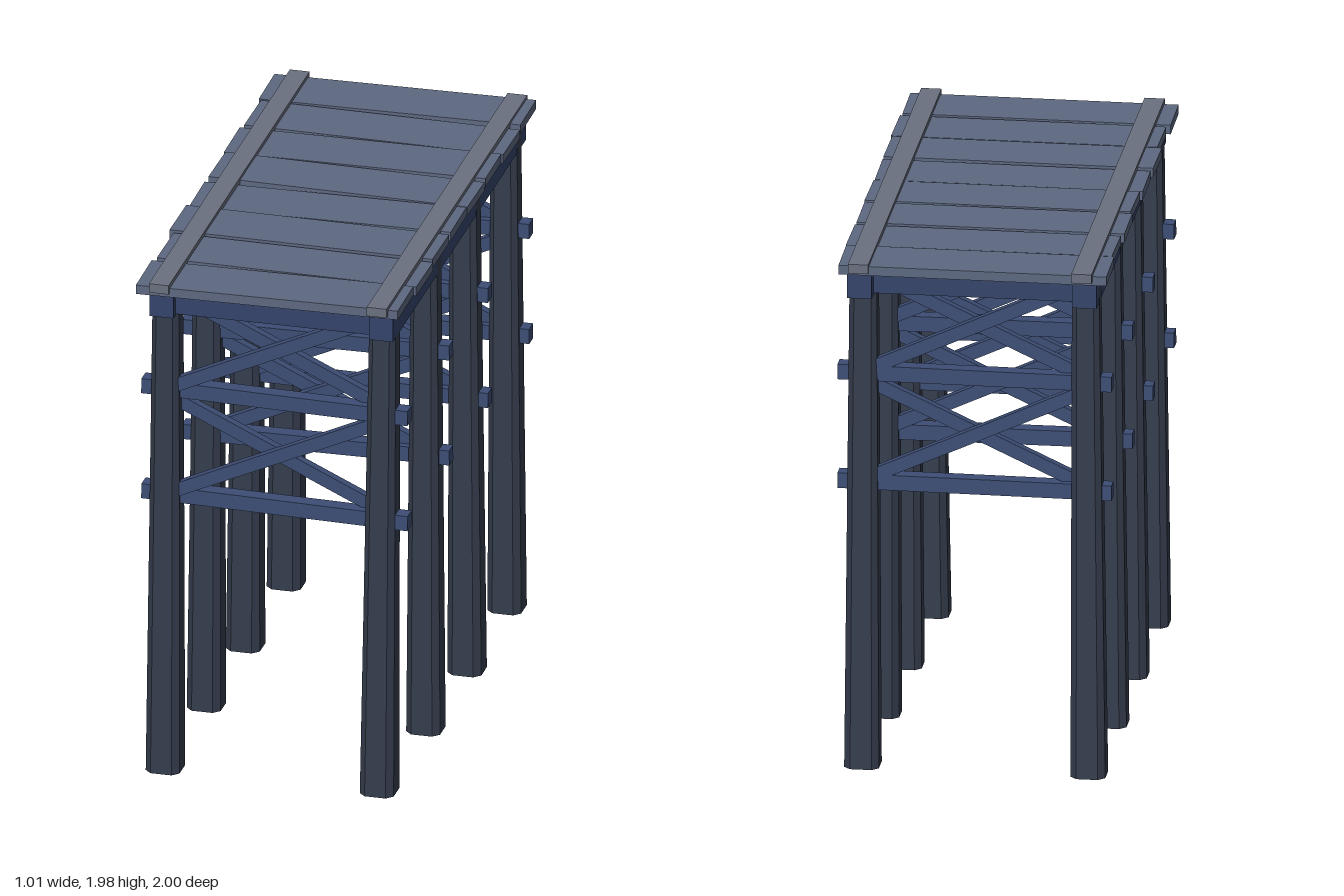
import * as THREE from 'three';

const material = (color) => new THREE.MeshStandardMaterial({ color, flatShading: true });
const deckMat = material(0x5d6880);
const curbMat = material(0x6a7080);
const beamMat = material(0x33436a);
const braceMat = material(0x3c4d74);
const postMat = material(0x343c4c);

function box(parent, name, mat, size, pos, rot = [0, 0, 0]) {
  const mesh = new THREE.Mesh(new THREE.BoxGeometry(...size), mat);
  mesh.name = name;
  mesh.position.set(...pos);
  mesh.rotation.set(...rot);
  parent.add(mesh);
  return mesh;
}

// Chamfered square post that narrows and leans towards its top
function postGeometry(height, bottom, top, lean) {
  const h = 1, c = 0.62;
  const corners = [[h, -c], [h, c], [c, h], [-c, h], [-h, c], [-h, -c], [-c, -h], [c, -h]];
  const shape = new THREE.Shape(corners.map(([x, y]) => new THREE.Vector2(x, y)));
  const geo = new THREE.ExtrudeGeometry(shape, { depth: height, bevelEnabled: false });
  geo.rotateX(-Math.PI / 2);
  const p = geo.attributes.position;
  for (let i = 0; i < p.count; i++) {
    const t = p.getY(i) / height;
    const s = THREE.MathUtils.lerp(bottom, top, t);
    p.setX(i, p.getX(i) * s + lean[0] * t);
    p.setZ(i, p.getZ(i) * s + lean[1] * t);
  }
  geo.computeVertexNormals();
  return geo;
}

// Bar between two points in the x-y plane
function diagonal(parent, x0, y0, x1, y1, z) {
  const length = Math.hypot(x1 - x0, y1 - y0);
  box(parent, 'diagonalBrace', braceMat, [length, 0.05, 0.035],
    [(x0 + x1) / 2, (y0 + y1) / 2, z], [0, 0, Math.atan2(y1 - y0, x1 - x0)]);
}

export function createModel() {
  const model = new THREE.Group();
  model.name = 'woodenPier';

  // Four trestle frames, each with two posts, rails and crossed braces
  const frames = [
    { z: 0.875, foot: 0.39, tilt: -0.012 },
    { z: 0.292, foot: 0.41, tilt: 0.006 },
    { z: -0.263, foot: 0.418, tilt: -0.005 },
    { z: -0.841, foot: 0.415, tilt: 0.007 },
  ];
  frames.forEach(({ z, foot, tilt }, i) => {
    const frame = new THREE.Group();
    frame.name = 'trestleFrame' + (i + 1);
    model.add(frame);

    for (const side of [-1, 1]) {
      const x = side > 0 ? foot : -0.42;
      const geo = postGeometry(1.92, 0.064, 0.05, [side * 0.41 - x, 0]);
      const post = new THREE.Mesh(geo, postMat);
      post.name = side > 0 ? 'leftPost' : 'rightPost';
      post.position.set(x, 0, z);
      frame.add(post);
    }

    for (const y of [1.1, 1.52])
      box(frame, 'horizontalRail', braceMat, [1.01, 0.058, 0.058], [0, y, z], [0, tilt, tilt]);

    for (const [low, high] of [[1.12, 1.48], [1.54, 1.9]]) {
      diagonal(frame, -0.39, low, 0.39, high, z + 0.018);
      diagonal(frame, -0.39, high, 0.39, low, z - 0.018);
    }

    box(frame, 'crossBeam', beamMat, [0.8, 0.095, 0.085], [0, 1.885, z]);
  });

  // Long beams under the deck and curbs along its edges
  for (const side of [-1, 1]) {
    box(model, 'longBeam', beamMat, [0.09, 0.1, 1.89], [side * 0.415, 1.883, 0.005]);
    box(model, 'edgeCurb', curbMat, [0.075, 0.035, 2], [side * 0.412, 1.967, 0]);
  }

  // Deck planks: left end, right end, yaw, height offset
  const planks = [
    [-0.5, 0.487, 0.01, 0.003], [-0.49, 0.492, -0.008, -0.002],
    [-0.5, 0.487, 0.008, 0.001], [-0.493, 0.49, -0.012, 0.002],
    [-0.5, 0.487, 0.012, -0.003], [-0.508, 0.488, -0.006, 0.002],
    [-0.49, 0.493, -0.007, -0.002], [-0.503, 0.485, 0.01, 0],
  ];
  planks.forEach(([x0, x1, yaw, lift], i) => {
    box(model, 'deckPlank', deckMat, [x1 - x0, 0.035, 0.232],
      [(x0 + x1) / 2, 1.952 + lift, -0.866 + i * 0.2475], [0, yaw, yaw * 0.4]);
  });

  return model;
}
